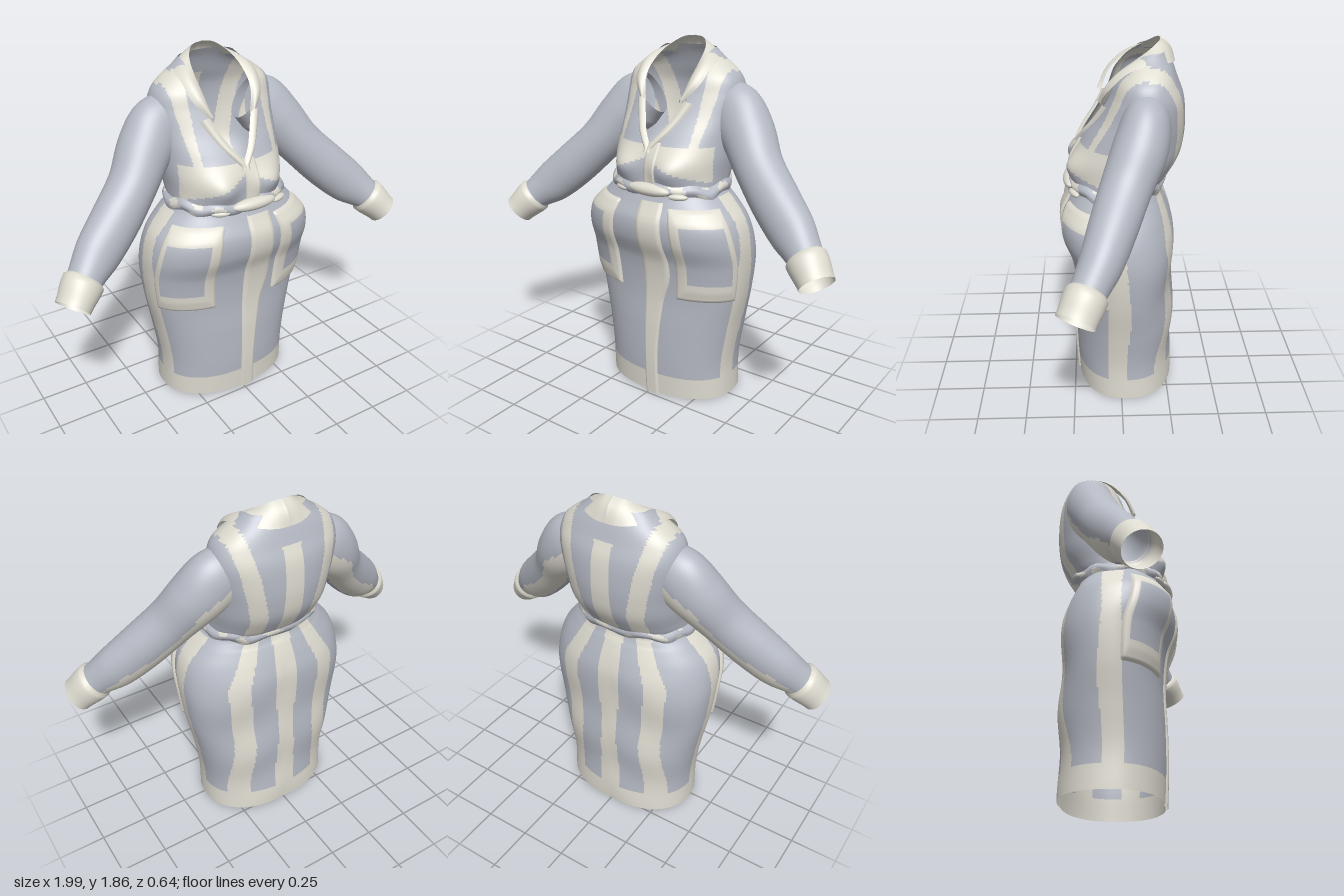
import * as THREE from 'three';
import { mergeVertices } from 'three/addons/utils/BufferGeometryUtils.js';

const N = 2.3; // roundness of the body cross-section

// Body sections: height, half width, front z, back z
const SECTIONS = [
  [0.0, 0.37, 0.225, -0.28], [0.2, 0.37, 0.235, -0.28], [0.4, 0.4, 0.235, -0.288],
  [0.6, 0.44, 0.23, -0.275], [0.78, 0.46, 0.25, -0.282], [0.9, 0.455, 0.295, -0.275],
  [1.0, 0.425, 0.3, -0.25], [1.08, 0.36, 0.265, -0.225], [1.14, 0.305, 0.24, -0.205],
  [1.2, 0.3, 0.235, -0.245], [1.3, 0.31, 0.225, -0.3], [1.4, 0.315, 0.18, -0.32],
  [1.5, 0.325, 0.115, -0.322], [1.6, 0.33, 0.065, -0.31], [1.68, 0.308, 0.035, -0.28],
  [1.73, 0.255, 0.0, -0.262], [1.77, 0.195, -0.03, -0.245], [1.81, 0.15, -0.07, -0.222],
];
// Half width of the neck opening by height
const OPENING = [[1.36, 0], [1.45, 0.065], [1.57, 0.122], [1.67, 0.14], [1.77, 0.15], [1.81, 0.15]];

// Smooth interpolation through table rows
function sample(table, y, col) {
  const last = table.length - 1;
  if (y <= table[0][0]) return table[0][col];
  if (y >= table[last][0]) return table[last][col];
  let i = 0;
  while (table[i + 1][0] < y) i++;
  const slope = (k) => {
    const a = table[Math.max(k - 1, 0)], b = table[Math.min(k + 1, last)];
    return (b[col] - a[col]) / (b[0] - a[0]);
  };
  const h = table[i + 1][0] - table[i][0], t = (y - table[i][0]) / h, t2 = t * t, t3 = t2 * t;
  return (2 * t3 - 3 * t2 + 1) * table[i][col] + (t3 - 2 * t2 + t) * h * slope(i)
    + (3 * t2 - 2 * t3) * table[i + 1][col] + (t3 - t2) * h * slope(i + 1);
}

// Angle at which the section reaches a given share of its half width
const angleAt = (ratio) => {
  const r = THREE.MathUtils.clamp(ratio, -1, 1);
  return Math.sign(r) * Math.asin(Math.pow(Math.abs(r), N / 2));
};

// Point on the body: angle 0 is the front, PI/2 the +x side
function bodyPoint(a, y, off = 0) {
  const hw = sample(SECTIONS, y, 1), zf = sample(SECTIONS, y, 2), zb = sample(SECTIONS, y, 3);
  const s = Math.sin(a), c = Math.cos(a), zc = (zf + zb) / 2, d = (zf - zb) / 2;
  const pw = (v) => Math.sign(v) * Math.pow(Math.abs(v), 2 / N);
  const x = hw * pw(s), nx = s / hw, nz = c / d, l = Math.hypot(nx, nz);
  let z = zc + d * pw(c);
  if (c > 0) { // bust
    z += 0.05 * Math.exp(-(((Math.abs(x) - 0.14) / 0.09) ** 2) - ((y - 1.25) / 0.075) ** 2);
  } else if (y < 1.1) { // soft folds down the back
    z -= 0.006 * c * c * Math.sin(y * 14 + Math.abs(x) * 8);
  }
  return new THREE.Vector3(x + off * nx / l, y, z + off * nz / l);
}

// Grid surface, with a colour index chosen for every cell
function surface(name, nu, nv, point, colour, mats, flip = false) {
  const pos = [], faces = mats.map(() => []);
  for (let j = 0; j <= nv; j++)
    for (let i = 0; i <= nu; i++) pos.push(...point(i / nu, j / nv).toArray());
  for (let j = 0; j < nv; j++)
    for (let i = 0; i < nu; i++) {
      const u = (i + 0.5) / nu, v = (j + 0.5) / nv;
      const a = j * (nu + 1) + i, b = a + 1, c = a + nu + 1, d = c + 1;
      faces[colour(point(u, v), u, v)].push(...(flip ? [a, d, b, a, c, d] : [a, b, d, a, d, c]));
    }
  let geo = new THREE.BufferGeometry();
  geo.setAttribute('position', new THREE.Float32BufferAttribute(pos, 3));
  geo.setIndex(faces.flat());
  geo = mergeVertices(geo, 1e-5);
  let start = 0;
  faces.forEach((f, k) => { geo.addGroup(start, f.length, k); start += f.length; });
  geo.computeVertexNormals();
  const mesh = new THREE.Mesh(geo, mats);
  mesh.name = name;
  return mesh;
}

// Panel colours of the body: 0 = grey, 1 = cream
function bodyColour(p) {
  const x = Math.abs(p.x), { y, z } = p;
  const front = z > (sample(SECTIONS, y, 2) + sample(SECTIONS, y, 3)) / 2;
  const wave = 0.012 * Math.sin(y * 9);
  if (y < 0.125) return 1;
  if (y < 1.12) {
    if (z > -0.035 + wave && z < 0.07 && x > 0.25) return 1;
    if (front) return 0;
    const taper = y > 0.9 ? 1 - (y - 0.9) * 1.6 : 1;
    if (x < 0.055 + wave * 0.6) return 1;
    return x > (0.19 + wave) * taper && x < (0.3 + wave) * taper ? 1 : 0;
  }
  if (!front) {
    if (x < 0.05 && y < 1.67) return 1;
    const mid = 0.16 + Math.max(0, y - 1.3) * 0.2;
    return Math.abs(x - mid) < 0.04 ? 1 : 0;
  }
  if (y < 1.2) return 0;
  if (y > 1.36) return x > 0.2 && x < 0.215 + (y - 1.2) * 0.12 ? 1 : 0;
  return y > 1.2 + 0.11 * (1 - x / 0.27) && x < 0.29 ? 1 : 0;
}

export function createModel() {
  const grey = new THREE.MeshStandardMaterial({ color: 0xb5b9c3, side: THREE.DoubleSide });
  grey.name = 'grey cloth';
  const cream = new THREE.MeshStandardMaterial({ color: 0xdedbd0, side: THREE.DoubleSide });
  cream.name = 'cream cloth';
  const mats = [grey, cream];
  const model = new THREE.Group();
  model.name = 'coatDress';
  const allCream = () => 1;

  // Skirt and bodice in one shell, open at the neck
  model.add(surface('body', 250, 170, (u, v) => {
    const y = 0.008 + v * 1.802;
    const a0 = y > 1.36 ? angleAt(sample(OPENING, y, 1) / sample(SECTIONS, y, 1)) : 0;
    return bodyPoint(a0 + u * (2 * Math.PI - 2 * a0), y);
  }, bodyColour, mats));

  // Front placket, lower and upper lengths
  const RIGHT = [[0, 0.065], [0.25, 0.065], [0.55, 0.1], [0.7, 0.145], [0.85, 0.14], [1.1, 0.12]];
  const strip = (name, y0, y1, left, right) => model.add(surface(name, 10, 50, (u, v) => {
    const y = y0 + v * (y1 - y0), hw = sample(SECTIONS, y, 1);
    const x = THREE.MathUtils.lerp(left, right(y), u);
    return bodyPoint(angleAt(x / hw), y, u === 0 || u === 1 ? -0.004 : 0.01);
  }, allCream, mats));
  strip('skirtPlacket', 0, 1.1, -0.02, (y) => sample(RIGHT, y, 1));
  strip('bodicePlacket', 1.18, 1.38, -0.01, () => 0.065);

  // Belt with a rumpled edge, and its knot
  model.add(surface('belt', 120, 6, (u, v) => {
    const a = u * Math.PI * 2;
    const y = 1.125 + v * 0.06 + 0.007 * Math.sin(a * 9) + 0.006 * Math.sin(a * 4);
    return bodyPoint(a, y, 0.022 * Math.sin(v * Math.PI) - 0.002);
  }, (p, u, v) => (Math.sin(u * 83) + Math.sin(u * 47 + v * 5) > 0.6 ? 1 : 0), mats));
  const knot = new THREE.Mesh(new THREE.SphereGeometry(1, 24, 14), cream);
  knot.name = 'beltKnot';
  knot.scale.set(0.125, 0.033, 0.04);
  knot.position.set(0.03, 1.155, 0.25);
  model.add(knot);
  for (const side of [-1, 1]) {
    const loop = new THREE.Mesh(new THREE.SphereGeometry(1, 16, 10), cream);
    loop.name = 'beltLoop';
    loop.scale.set(0.05, 0.016, 0.02);
    loop.position.set(0.02 + side * 0.17, 1.135, 0.23);
    loop.rotation.y = side * 0.4;
    model.add(loop);
  }

  // Sleeve path: x, y, z, radius in the front plane, radius in depth
  const SLEEVE = [
    [0.22, 1.56, -0.12, 0.125, 0.1], [0.3, 1.505, -0.11, 0.152, 0.12], [0.385, 1.42, -0.08, 0.14, 0.13],
    [0.49, 1.285, -0.015, 0.122, 0.12], [0.625, 1.145, 0.05, 0.124, 0.112], [0.745, 1.035, 0.105, 0.117, 0.1],
    [0.84, 0.955, 0.16, 0.088, 0.085], [0.93, 0.86, 0.215, 0.075, 0.085],
  ];
  const path = new THREE.CatmullRomCurve3(SLEEVE.map((s) => new THREE.Vector3(s[0], s[1], s[2])));
  const sizes = SLEEVE.map((s, i) => [i / (SLEEVE.length - 1), s[3], s[4]]);
  const sleevePoint = (side, a, t, grow) => {
    const c = path.getPoint(t), tan = path.getTangent(t);
    const up = new THREE.Vector3(-tan.y, tan.x, 0).normalize();
    const depth = new THREE.Vector3().crossVectors(up, tan).normalize();
    c.addScaledVector(up, Math.cos(a) * (sample(sizes, t, 1) + grow));
    c.addScaledVector(depth, Math.sin(a) * (sample(sizes, t, 2) + grow));
    c.x *= side;
    return c;
  };

  // Collar edges from the notch to the back of the neck
  const curve = (pts) => new THREE.CatmullRomCurve3(pts.map((p) => new THREE.Vector3(...p)));
  const collarIn = curve([[0.1, 1.56, 0.095], [0.13, 1.67, 0.05], [0.13, 1.76, -0.045],
    [0.105, 1.815, -0.13], [0.058, 1.85, -0.183], [0, 1.858, -0.195]]);
  const collarOut = curve([[0.13, 1.575, 0.1], [0.19, 1.65, 0.055], [0.208, 1.735, -0.035],
    [0.198, 1.765, -0.14], [0.14, 1.765, -0.225], [0.06, 1.757, -0.262], [0, 1.755, -0.266]]);

  for (const side of [1, -1]) {
    const word = side > 0 ? 'left' : 'right';
    // Sleeve with a cream stripe along the back
    model.add(surface(word + 'Sleeve', 60, 70, (u, v) => sleevePoint(side, u * Math.PI * 2, v * 0.88, 0),
      (p, u, v) => (v > 0.12 && Math.abs(u - (0.34 + 0.015 * Math.sin(v * 14))) < 0.085 ? 1 : 0), mats, side > 0));
    // Turned-back cuff
    model.add(surface(word + 'Cuff', 40, 8, (u, v) =>
      sleevePoint(side, u * Math.PI * 2, 0.85 + v * 0.15, v === 0 ? -0.004 : 0.012 + 0.004 * Math.sin(v * 5)),
    allCream, mats, side > 0));
    // Patch pocket with a cream border
    model.add(surface(word + 'Pocket', 36, 44, (u, v) => {
      const y = 0.585 + v * 0.495;
      const edge = Math.min(u, 1 - u, v, 1 - v);
      const a = THREE.MathUtils.lerp(angleAt(0.385), angleAt(0.965), u);
      return bodyPoint(side * a, y, edge === 0 ? -0.004 : 0.01 + 0.01 * Math.min(1, edge * 8));
    }, (p, u, v) => (u > 0.17 && u < 0.87 && v > 0.2 && v < 0.84 ? 0 : 1), mats, side < 0));
    // Lapel lying on the bodice, widening to the notch
    model.add(surface(word + 'Lapel', 8, 24, (u, v) => {
      const y = 1.34 + v * 0.235, x = sample(OPENING, y, 1) - 0.008 + u * (0.03 + 0.022 * v);
      return bodyPoint(side * angleAt(x / sample(SECTIONS, y, 1)), y - u * 0.012, 0.006 + 0.014 * Math.sin(u * Math.PI));
    }, allCream, mats, side < 0));
    // Collar, gently rolled
    model.add(surface(word + 'Collar', 8, 36, (u, v) => {
      const p = collarIn.getPoint(v).lerp(collarOut.getPoint(v), u);
      const roll = Math.sin(u * Math.PI);
      p.y += 0.014 * roll;
      p.z += 0.012 * roll * (1 - 2 * v * v);
      p.x *= side;
      return p;
    }, allCream, mats, side < 0));
  }
  return model;
}
